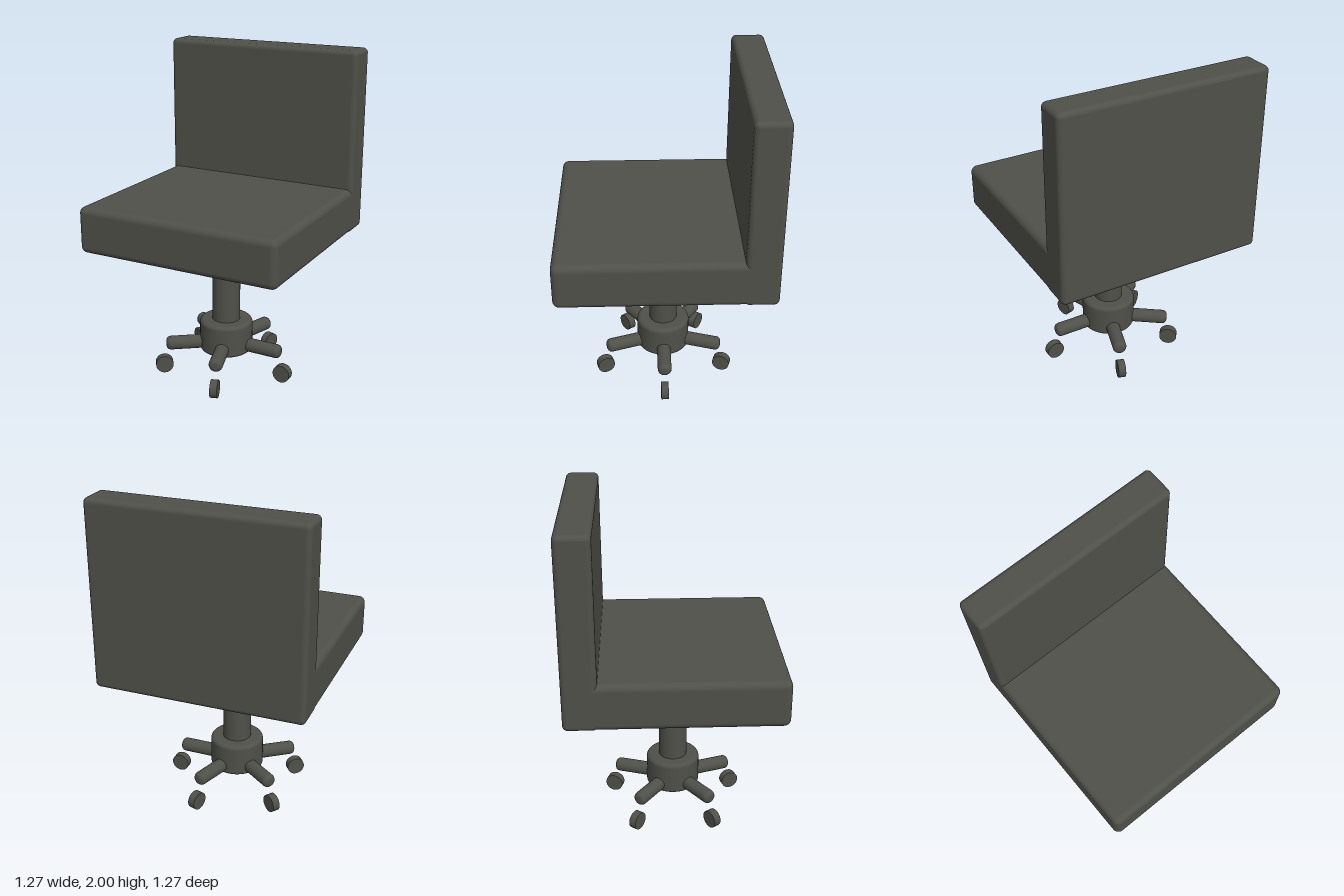
import * as THREE from 'three';
import { RoundedBoxGeometry } from 'three/addons/geometries/RoundedBoxGeometry.js';

const material = new THREE.MeshStandardMaterial({ color: 0x50504a });

function addPart(parent, name, geometry, x, y, z) {
  const mesh = new THREE.Mesh(geometry, material);
  mesh.name = name;
  mesh.position.set(x, y, z);
  parent.add(mesh);
  return mesh;
}

// Solid cylinder about y with filleted rims
function roundedCylinder(radius, height, fillet) {
  const points = [new THREE.Vector2(0, -height / 2)];
  const steps = 6;
  for (const side of [-1, 1]) {
    for (let i = 0; i <= steps; i++) {
      const t = (side < 0 ? i - steps : i) / steps * Math.PI / 2;
      points.push(new THREE.Vector2(
        radius - fillet + fillet * Math.cos(t),
        side * (height / 2 - fillet) + fillet * Math.sin(t)
      ));
    }
  }
  points.push(new THREE.Vector2(0, height / 2));
  return new THREE.LatheGeometry(points, 48);
}

export function createModel() {
  const chair = new THREE.Group();
  chair.name = 'swivelChair';

  // Cushions: the seat runs into the full-height back
  addPart(chair, 'seat', new RoundedBoxGeometry(1.268, 0.282, 1.204, 5, 0.04), 0, 1.016, 0.032);
  addPart(chair, 'backrest', new RoundedBoxGeometry(1.268, 1.125, 0.2, 5, 0.03), 0, 1.4375, -0.534);

  // Column and hub
  addPart(chair, 'column', new THREE.CylinderGeometry(0.087, 0.087, 0.62, 48), 0, 0.61, 0);
  addPart(chair, 'hub', roundedCylinder(0.165, 0.208, 0.025), 0, 0.244, 0);

  // Five radial arms, each with a separate wheel below its tip
  const armGeometry = roundedCylinder(0.043, 0.26, 0.028);
  armGeometry.rotateZ(-Math.PI / 2);
  const wheelGeometry = new THREE.CylinderGeometry(0.055, 0.055, 0.046, 40);
  wheelGeometry.rotateX(Math.PI / 2);
  for (let i = 0; i < 5; i++) {
    const spoke = new THREE.Group();
    spoke.name = 'spoke' + (i + 1);
    spoke.rotation.y = i * Math.PI * 2 / 5;
    addPart(spoke, 'arm', armGeometry, 0.25, 0.195, 0);
    addPart(spoke, 'wheel', wheelGeometry, 0.394, 0.056, 0);
    chair.add(spoke);
  }
  return chair;
}
